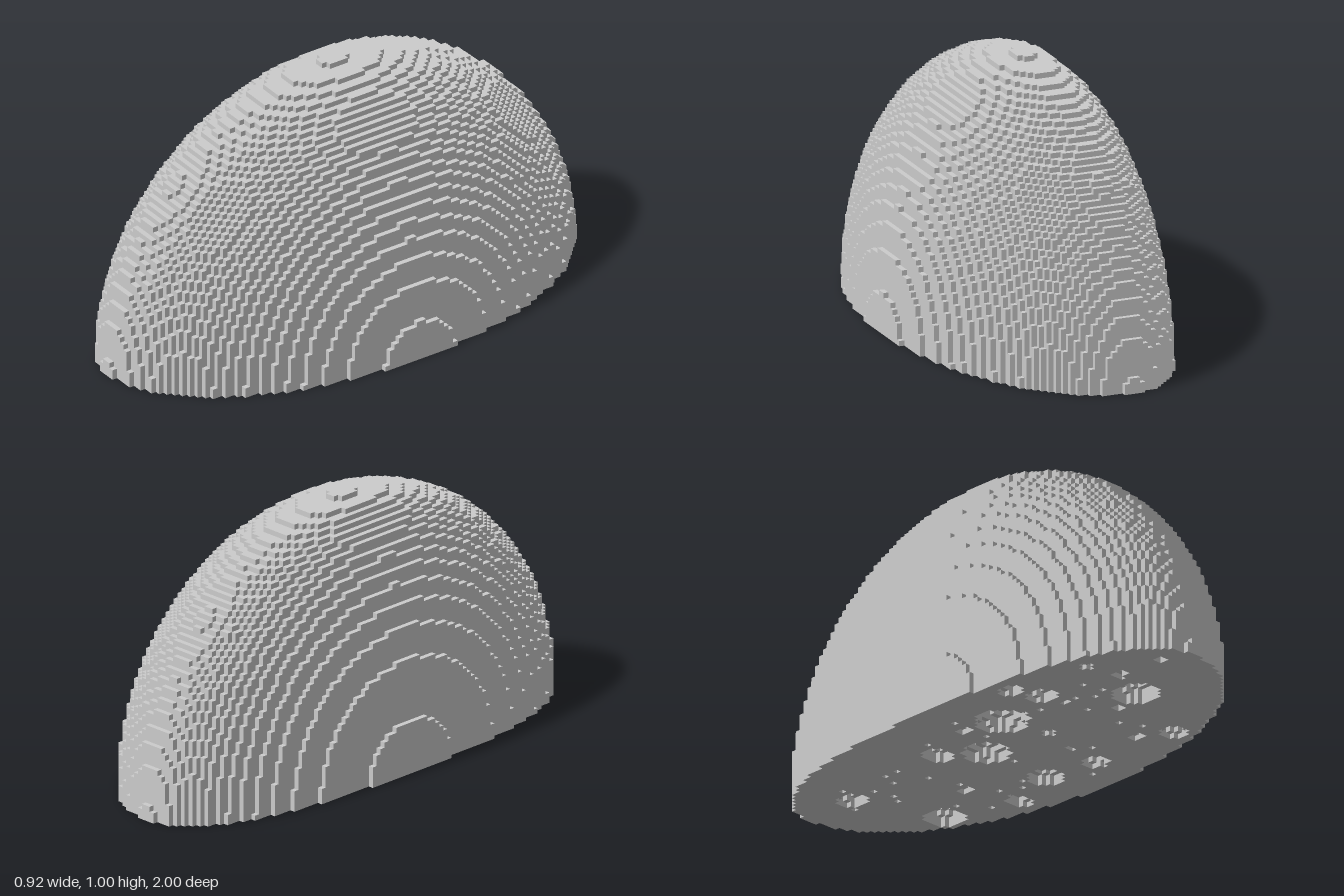
import * as THREE from 'three';

const V = 0.02; // voxel edge

// Egg-like half dome: round in the y-z plane, narrower on the -x side.
function inShell(i, j, k) {
  if (j < 0) return false;
  const dx = (i + 0.5) * V + 0.1, y = (j + 0.5) * V, z = (k + 0.5) * V;
  const [a, p] = dx < 0 ? [0.357, 2.3] : [0.561, 2];
  return Math.pow(Math.abs(dx) / a, p) + Math.pow(Math.hypot(y, z), p) <= Math.pow(0.992, p);
}

// Round air pockets opening on the flat underside: x, z, radius.
const pockets = [
  [0.23, -0.63, 0.075], [-0.11, -0.76, 0.055], [0.33, -0.34, 0.043], [0.25, -0.13, 0.068],
  [-0.05, -0.13, 0.085], [-0.16, -0.27, 0.06], [0.28, 0.09, 0.05], [-0.2, 0.1, 0.095],
  [-0.02, 0.61, 0.09], [-0.25, 0.36, 0.055], [-0.36, 0.31, 0.045], [0.31, 0.47, 0.045],
  [0.24, 0.35, 0.025], [0.12, -0.41, 0.028], [0.02, 0.48, 0.025], [-0.18, 0.69, 0.023],
  [-0.16, 0.88, 0.028], [-0.01, 0.15, 0.023], [0.13, 0.11, 0.02], [-0.31, 0.65, 0.023],
  [-0.24, -0.05, 0.023],
];

// Tiny one-voxel pits scattered over the underside.
const pits = new Set();
let seed = 7;
const rand = () => (seed = (seed * 16807) % 2147483647) / 2147483647;
for (let n = 0; n < 40; n++) {
  const t = rand() * Math.PI * 2, r = Math.sqrt(rand()) * 0.88;
  pits.add(`${Math.floor((Math.cos(t) * r * 0.42) / V)},${Math.floor((Math.sin(t) * r) / V)}`);
}

function isHollow(i, j, k) {
  if (j === 0 && pits.has(`${i},${k}`)) return true;
  const x = (i + 0.5) * V, y = (j + 0.5) * V, z = (k + 0.5) * V;
  return pockets.some(([px, pz, r]) => Math.hypot(x - px, y - 0.01, z - pz) < r);
}

const solid = (i, j, k) => inShell(i, j, k) && !isHollow(i, j, k);

// One square face of a voxel, wound to face along axis * sign.
function addFace(out, cell, axis, sign) {
  const u = (axis + 1) % 3, v = (axis + 2) % 3;
  const corner = (a, b) => {
    const c = [...cell];
    if (sign > 0) c[axis] += 1;
    c[u] += a;
    c[v] += b;
    return c.map((n) => n * V);
  };
  const q = [corner(0, 0), corner(1, 0), corner(1, 1), corner(0, 1)];
  const order = sign > 0 ? [0, 1, 2, 0, 2, 3] : [0, 2, 1, 0, 3, 2];
  for (const n of order) out.push(...q[n]);
}

function makeMesh(name, positions) {
  const geo = new THREE.BufferGeometry();
  geo.setAttribute('position', new THREE.Float32BufferAttribute(positions, 3));
  geo.computeVertexNormals();
  const mesh = new THREE.Mesh(geo, new THREE.MeshStandardMaterial({ color: 0xcccccc, flatShading: true }));
  mesh.name = name;
  return mesh;
}

export function createModel() {
  const crust = [], crumb = [];
  for (let i = -25; i < 25; i++)
    for (let j = 0; j < 50; j++)
      for (let k = -50; k < 50; k++) {
        if (!solid(i, j, k)) continue;
        for (let axis = 0; axis < 3; axis++)
          for (const sign of [-1, 1]) {
            const n = [i, j, k];
            n[axis] += sign;
            if (solid(...n)) continue;
            // The cut underside and pocket walls are crumb, all else is crust.
            const inner = n[1] < 0 || inShell(...n);
            addFace(inner ? crumb : crust, [i, j, k], axis, sign);
          }
      }
  const group = new THREE.Group();
  group.name = 'halfLoaf';
  group.add(makeMesh('crust', crust), makeMesh('porousUnderside', crumb));
  return group;
}
